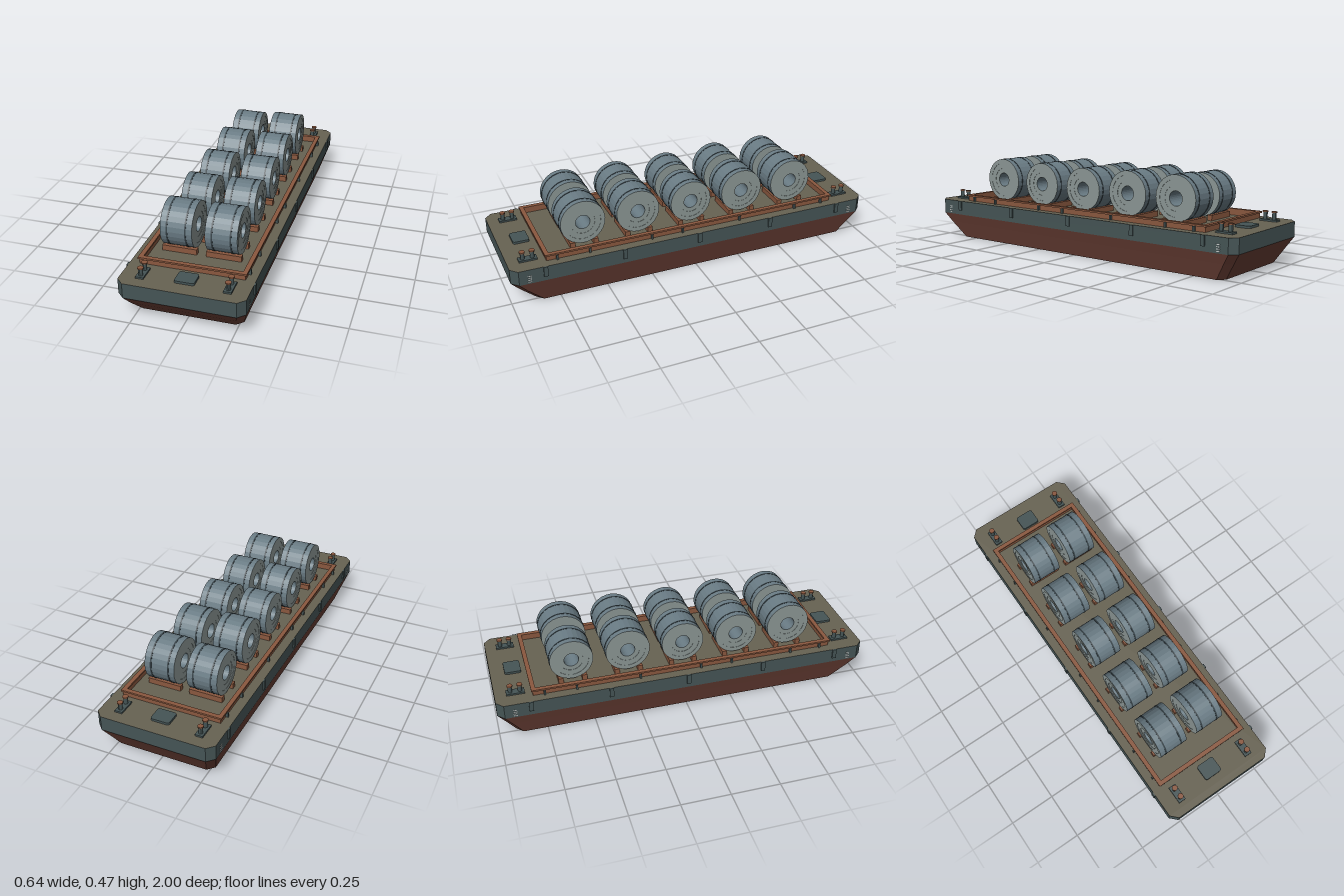
import * as THREE from 'three';

const mat = (name, color, flat = true) => {
  const m = new THREE.MeshStandardMaterial({ color, flatShading: flat });
  m.name = name;
  return m;
};

export function createModel() {
  const root = new THREE.Group();
  root.name = 'coilBarge';
  const M = {
    red: mat('hull red', 0x6b4036),
    teal: mat('dark teal paint', 0x455455),
    deck: mat('deck olive', 0x676252),
    rust: mat('rust orange', 0x8a583f),
    steel: mat('coil steel', 0x6a7c85),
    end: mat('coil end grey', 0x8b9694),
    strap: mat('strap dark', 0x38444a),
    white: mat('marking white', 0xc8cccb),
  };
  const add = (parent, name, geo, material, x = 0, y = 0, z = 0) => {
    const mesh = new THREE.Mesh(geo, material);
    mesh.name = name;
    mesh.position.set(x, y, z);
    parent.add(mesh);
    return mesh;
  };
  const box = (parent, name, w, h, d, material, x, y, z) =>
    add(parent, name, new THREE.BoxGeometry(w, h, d), material, x, y, z);

  // Chamfered-rectangle hull section, counterclockwise from above
  const section = (y, hx, zf, zb, c) => [
    [hx, y, zf - c], [hx, y, zb + c], [hx - c, y, zb], [c - hx, y, zb],
    [-hx, y, zb + c], [-hx, y, zf - c], [c - hx, y, zf], [hx - c, y, zf],
  ];
  const meshOf = (tris) => {
    const g = new THREE.BufferGeometry();
    g.setAttribute('position', new THREE.Float32BufferAttribute(tris.flat(), 3));
    g.computeVertexNormals();
    return g;
  };
  const skin = (rings) => {
    const t = [];
    for (let k = 0; k + 1 < rings.length; k++) {
      const a = rings[k], b = rings[k + 1];
      for (let i = 0; i < 8; i++) {
        const j = (i + 1) % 8;
        t.push(a[i], a[j], b[j], a[i], b[j], b[i]);
      }
    }
    return meshOf(t);
  };
  const cap = (ring, up) => {
    const t = [];
    for (let i = 1; i < 7; i++) t.push(ring[0], ...(up ? [ring[i], ring[i + 1]] : [ring[i + 1], ring[i]]));
    return meshOf(t);
  };

  // Hull: raked red bottom, teal sides, flat deck
  const bottom = section(0, 0.267, 0.87, -0.91, 0.033);
  const mid = section(0.085, 0.295, 0.955, -0.965, 0.035);
  const knuckle = section(0.138, 0.313, 1, -1, 0.036);
  const top = section(0.217, 0.313, 1, -1, 0.036);
  add(root, 'lowerHull', skin([bottom, mid, knuckle]), M.red);
  add(root, 'upperHull', skin([knuckle, top]), M.teal);
  add(root, 'deck', cap(top, true), M.deck);
  add(root, 'hullBottom', cap(bottom, false), M.deck);

  // Cargo coaming: wall with a wider top rail
  const frame = (ox, oz, ix, iz, h) => {
    const rect = (P, x, z) => new P([[-x, -z], [x, -z], [x, z], [-x, z]].map(p => new THREE.Vector2(...p)));
    const s = rect(THREE.Shape, ox, oz);
    s.holes.push(rect(THREE.Path, ix, iz));
    return new THREE.ExtrudeGeometry(s, { depth: h, bevelEnabled: false }).rotateX(-Math.PI / 2);
  };
  add(root, 'coamingWall', frame(0.264, 0.81, 0.252, 0.798, 0.028), M.rust, 0, 0.216, 0);
  add(root, 'coamingRail', frame(0.271, 0.817, 0.248, 0.794, 0.009), M.rust, 0, 0.243, 0);

  for (const s of [-1, 1]) {
    // Coaming brackets
    for (const z of [-0.75, -0.585, -0.25, 0.08, 0.25, 0.585, 0.755])
      box(root, 'coamingBracket', 0.014, 0.026, 0.01, M.teal, s * 0.27, 0.23, z);
    // Side fenders
    for (let i = -2; i <= 2; i++)
      box(root, 'fender', 0.008, 0.054, 0.022, M.teal, s * 0.316, 0.19, i * 0.414);
    for (const e of [-1, 1]) {
      // Draft marks
      for (let i = 0; i < 4; i++)
        box(root, 'draftMark', 0.002, 0.004, 0.02, M.white, s * 0.3135, 0.148 + i * 0.011, e * 0.91);
      // Twin bollards
      const b = new THREE.Group();
      b.name = 'bollard';
      b.position.set(s * 0.214, 0.217, e * 0.893);
      root.add(b);
      box(b, 'bollardBase', 0.04, 0.009, 0.094, M.teal, 0, 0.0045, 0);
      for (const z of [-0.025, 0.025]) {
        add(b, 'bollardPost', new THREE.CylinderGeometry(0.011, 0.011, 0.036, 12), M.teal, 0, 0.026, z);
        add(b, 'bollardCap', new THREE.CylinderGeometry(0.015, 0.015, 0.006, 12), M.rust, 0, 0.047, z);
      }
    }
  }

  // Deck hatches with rounded corners
  for (const e of [-1, 1]) {
    const x = 0.05, z = 0.043, r = 0.012;
    const s = new THREE.Shape();
    s.absarc(x - r, z - r, r, 0, Math.PI / 2);
    s.absarc(r - x, z - r, r, Math.PI / 2, Math.PI);
    s.absarc(r - x, r - z, r, Math.PI, Math.PI * 1.5);
    s.absarc(x - r, r - z, r, Math.PI * 1.5, Math.PI * 2);
    const g = new THREE.ExtrudeGeometry(s, { depth: 0.012, bevelEnabled: false, curveSegments: 4 });
    add(root, 'hatch', g.rotateX(-Math.PI / 2), M.teal, 0, 0.217, e * 0.882);
  }

  // Steel coils lying across the deck on chocks
  const lathe = (pts) => new THREE.LatheGeometry(pts.map(p => new THREE.Vector2(...p)), 28).rotateZ(Math.PI / 2);
  const coil = (x, z, r) => {
    const g = new THREE.Group();
    g.name = 'coil';
    g.position.set(x, 0.232 + r, z);
    root.add(g);
    const h = 0.0805, bore = 0.038;
    add(g, 'coilBarrel', lathe([[r, -h], [r, h]]), M.steel);
    add(g, 'coilBore', lathe([[bore, h - 0.003], [bore, 0.003 - h]]), M.steel);
    // Stepped winding faces
    const face = [[r, h], [r * 0.8, h], [r * 0.8, h - 0.0015], [r * 0.54, h - 0.0015], [r * 0.54, h - 0.003], [bore, h - 0.003]];
    add(g, 'coilFace', lathe(face), M.end);
    add(g, 'coilFace', lathe(face.map(([a, b]) => [a, -b]).reverse()), M.end);
    // Binding straps
    for (const sx of [-0.047, 0.047])
      add(g, 'coilStrap', lathe([[r - 0.001, -0.004], [r + 0.0015, -0.004], [r + 0.0015, 0.004], [r - 0.001, 0.004]]), M.strap, sx);
    // Chocks
    for (const cz of [-0.062, 0.062])
      box(root, 'chock', 0.178, 0.03, 0.026, M.rust, x, 0.231, z + cz);
  };
  const radii = [[0.113, 0.117, 0.113, 0.114, 0.118], [0.118, 0.117, 0.113, 0.116, 0.118]];
  radii.forEach((row, k) => row.forEach((r, i) => coil(k ? 0.1125 : -0.114, (i - 2) * 0.296, r)));

  return root;
}
